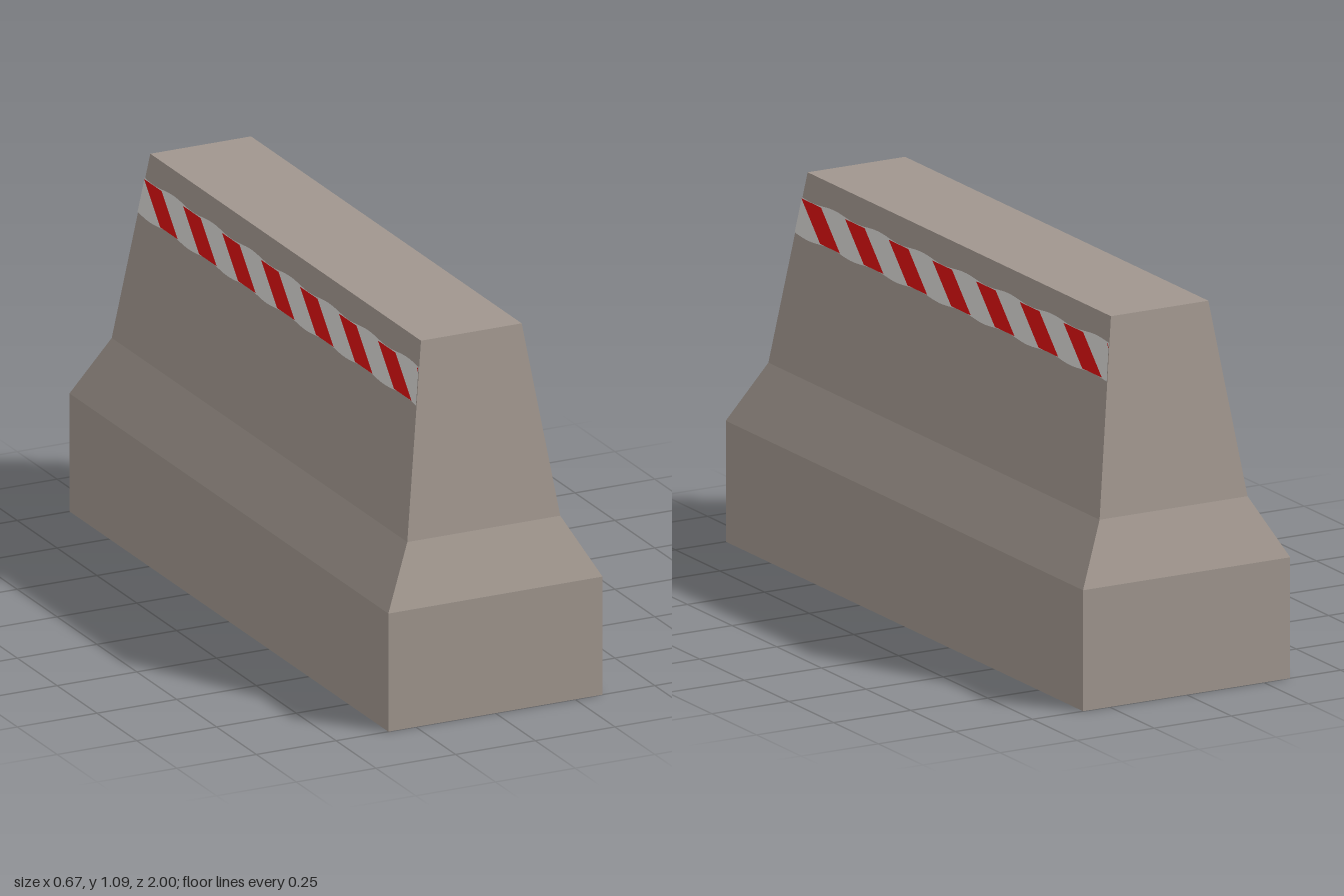
import * as THREE from 'three';

// Profile rows from ground to top: height, half width (x), half length (z)
const rows = [
  [0, 0.336, 1],
  [0.353, 0.336, 1],
  [0.527, 0.24, 0.927],
  [1.09, 0.158, 0.849],
];

// Half width and half length of the upper wall at height y
function wallAt(y) {
  const [low, top] = [rows[2], rows[3]];
  const t = (y - low[0]) / (top[0] - low[0]);
  return {
    x: THREE.MathUtils.lerp(low[1], top[1], t),
    z: THREE.MathUtils.lerp(low[2], top[2], t),
  };
}

// Lays an outline of [z, y] points on the sloping +x wall
function onWall(points, offset) {
  const shape = new THREE.Shape(points.map(([z, y]) => new THREE.Vector2(-z, y)));
  const geometry = new THREE.ShapeGeometry(shape);
  const pos = geometry.attributes.position;
  for (let i = 0; i < pos.count; i++) {
    const y = pos.getY(i);
    pos.setXYZ(i, wallAt(y).x + offset, y, -pos.getX(i));
  }
  geometry.computeVertexNormals();
  return geometry;
}

export function createModel() {
  const material = (name, color) => {
    const m = new THREE.MeshStandardMaterial({ color });
    m.name = name;
    return m;
  };
  const concrete = material('concrete', 0xa0968e);
  const red = material('red paint', 0xd81010);
  const white = material('white paint', 0xd5d3d1);

  const group = new THREE.Group();
  group.name = 'roadBarrier';
  const add = (parent, name, geometry, mat) => {
    const mesh = new THREE.Mesh(geometry, mat);
    mesh.name = name;
    parent.add(mesh);
  };

  // Concrete body: a box whose rings follow the profile rows
  const box = new THREE.BoxGeometry(2, 3, 2, 1, 3, 1).toNonIndexed();
  const pos = box.attributes.position;
  for (let i = 0; i < pos.count; i++) {
    const [y, hx, hz] = rows[Math.round(pos.getY(i) + 1.5)];
    pos.setXYZ(i, pos.getX(i) * hx, y, pos.getZ(i) * hz);
  }
  box.computeVertexNormals();
  add(group, 'barrierBody', box, concrete);

  // Warning band: white strip with slanted red stripes
  const period = 0.2445, start = 0.858, width = 0.11, lean = 0.13;
  const bottom = 0.915, top = 1.014;
  const topEdge = [], bottomEdge = [];
  const steps = 84;
  for (let i = 0; i <= steps; i++) {
    const s = 1 - (2 * i) / steps;
    // the edges swell slightly along each white patch
    const edge = (y, dir, redCentre) => {
      const z = s * wallAt(y).z;
      const swell = 0.004 - 0.004 * Math.cos((2 * Math.PI * (z - redCentre)) / period);
      const yy = y + dir * swell;
      return [s * wallAt(yy).z, yy];
    };
    topEdge.push(edge(top, 1, start - width / 2));
    bottomEdge.push(edge(bottom, -1, start - lean - width / 2));
  }
  const whiteGeometry = onWall([...bottomEdge, ...topEdge.reverse()], 0.002);

  const redGeometries = [];
  for (let k = 0; k < 7; k++) {
    const z = start - k * period;
    redGeometries.push(onWall([
      [z, top], [z - lean, bottom], [z - lean - width, bottom], [z - width, top],
    ], 0.004));
  }
  // last stripe is cut off by the end of the wall
  const cut = start - 7 * period;
  redGeometries.push(onWall([[cut, top], [-0.863, top - 0.011], [-wallAt(top).z, top]], 0.004));

  // The same band on both long sides, turned half way round
  for (const [name, turn] of [['leftBand', 0], ['rightBand', Math.PI]]) {
    const band = new THREE.Group();
    band.name = name;
    band.rotation.y = turn;
    add(band, 'whiteStrip', whiteGeometry, white);
    redGeometries.forEach((g) => add(band, 'redStripe', g, red));
    group.add(band);
  }
  return group;
}
